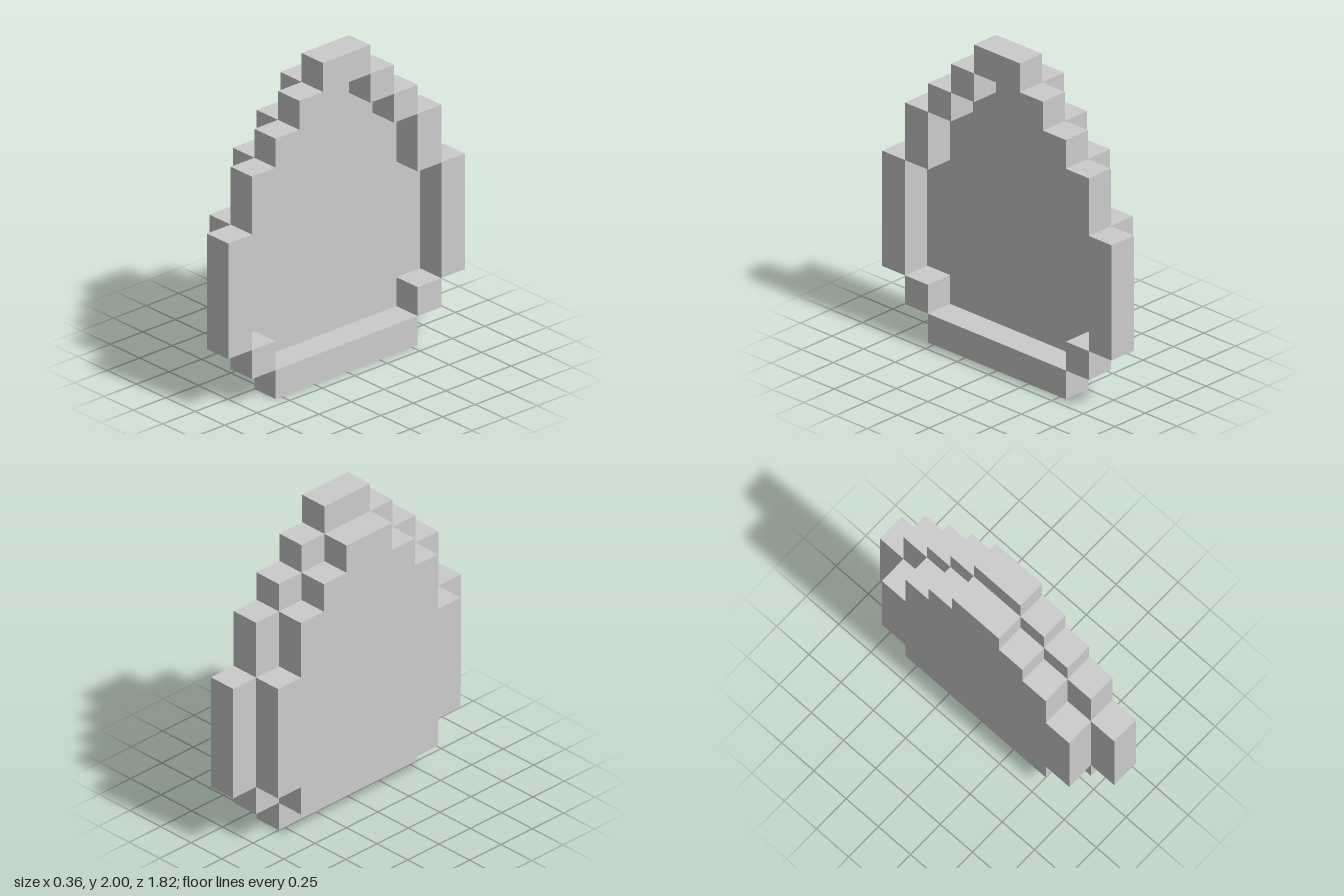
import * as THREE from 'three';

const U = 2 / 11; // one block

export function createModel() {
  const group = new THREE.Group();
  const material = new THREE.MeshStandardMaterial({ color: 0xcccccc, flatShading: true });

  // Stepped back plate: half widths and heights in blocks, from bottom to top
  const steps = [[3, 1, 2], [4, 2, 6], [3, 6, 8], [2, 8, 9], [1, 9, 10]];
  const side = steps.flatMap(([w, y0, y1]) => [[w, y0], [w, y1]]);
  const outline = [...side, ...side.slice().reverse().map(([w, y]) => [-w, y])];
  const shape = new THREE.Shape(outline.map(([w, y]) => new THREE.Vector2(w * U, y * U)));
  const plateGeometry = new THREE.ExtrudeGeometry(shape, { depth: U, bevelEnabled: false });
  plateGeometry.rotateY(Math.PI / 2).translate(-U, 0, 0);
  const plate = new THREE.Mesh(plateGeometry, material);
  plate.name = 'backPlate';
  group.add(plate);

  // Raised rim, one block deep, around the plate's outline
  const rim = new THREE.Group();
  rim.name = 'rim';
  const addBlock = (name, z0, z1, y0, y1) => {
    const block = new THREE.Mesh(new THREE.BoxGeometry(U, (y1 - y0) * U, (z1 - z0) * U), material);
    block.position.set(U / 2, (y0 + y1) / 2 * U, (z0 + z1) / 2 * U);
    block.name = name;
    rim.add(block);
  };
  addBlock('rimBottom', -3, 3, 0, 1);
  addBlock('rimTop', -1, 1, 10, 11);
  steps.forEach(([w, y0, y1], i) => {
    addBlock(`rimFront${i + 1}`, w, w + 1, y0, y1);
    addBlock(`rimBack${i + 1}`, -w - 1, -w, y0, y1);
  });
  group.add(rim);

  return group;
}
